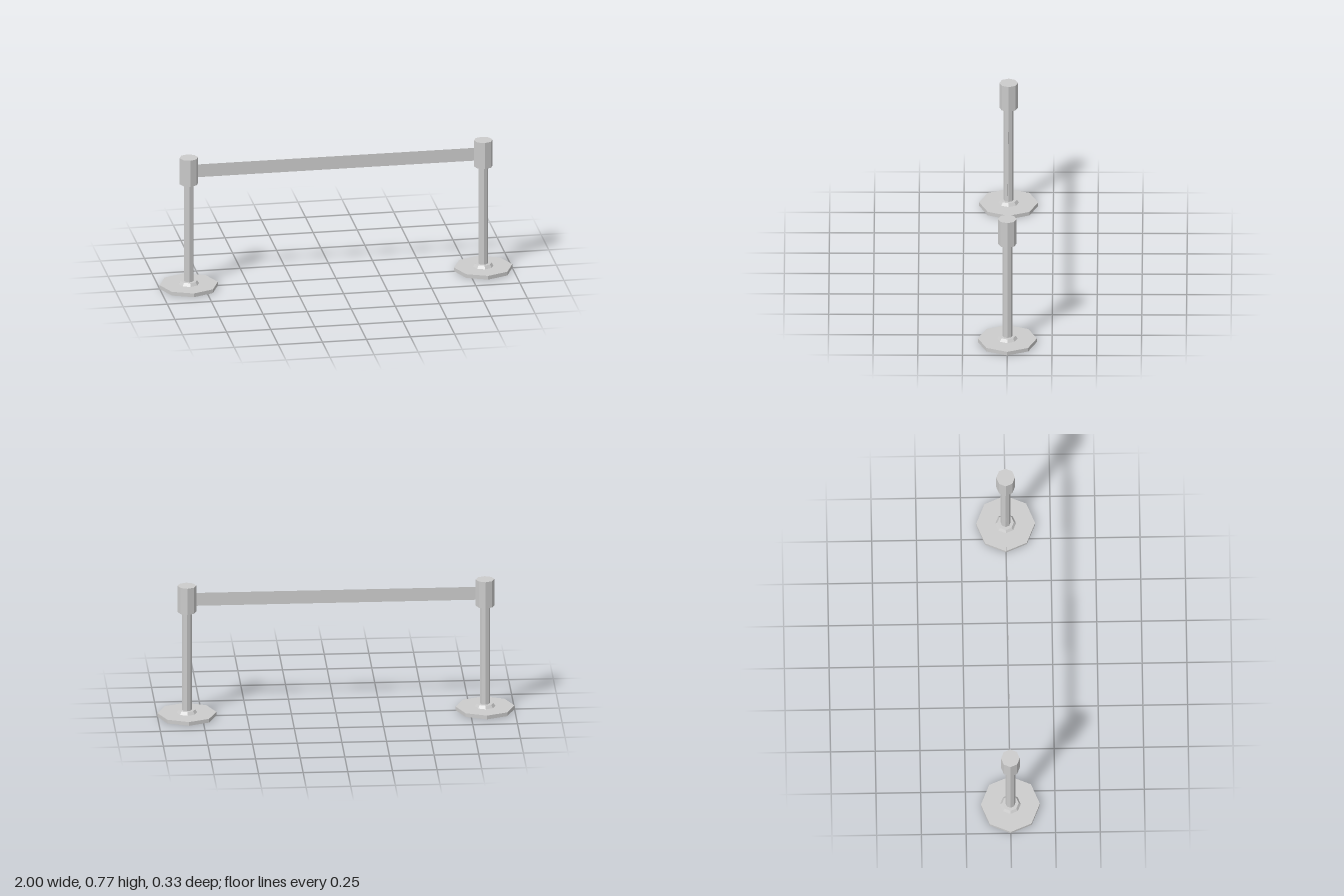
import * as THREE from 'three';

const SIDES = 8;
const POST_X = 0.835;

export function createModel() {
  const model = new THREE.Group();
  model.name = 'beltBarrier';
  const metal = new THREE.MeshStandardMaterial({ color: 0xcccccc, flatShading: true });
  const fabric = new THREE.MeshStandardMaterial({ color: 0xcccccc, side: THREE.DoubleSide });

  // Octagonal section standing between two heights, corners on the x and z axes
  const section = (name, rTop, rBottom, y0, y1) => {
    const mesh = new THREE.Mesh(new THREE.CylinderGeometry(rTop, rBottom, y1 - y0, SIDES), metal);
    mesh.name = name;
    mesh.position.y = (y0 + y1) / 2;
    return mesh;
  };

  // Two matching posts
  for (const side of [1, -1]) {
    const post = new THREE.Group();
    post.name = side > 0 ? 'leftPost' : 'rightPost';
    post.position.x = side * POST_X;
    post.add(
      section('base', 0.165, 0.165, 0, 0.022),
      section('collar', 0.046, 0.058, 0.022, 0.039),
      section('pole', 0.0275, 0.0275, 0.039, 0.617),
      section('beltHead', 0.0525, 0.0525, 0.617, 0.772),
    );
    model.add(post);
  }

  // Thin belt stretched between the heads
  const belt = new THREE.Mesh(new THREE.PlaneGeometry(2 * (POST_X - 0.05), 0.076), fabric);
  belt.name = 'belt';
  belt.position.y = 0.69;
  model.add(belt);

  return model;
}
